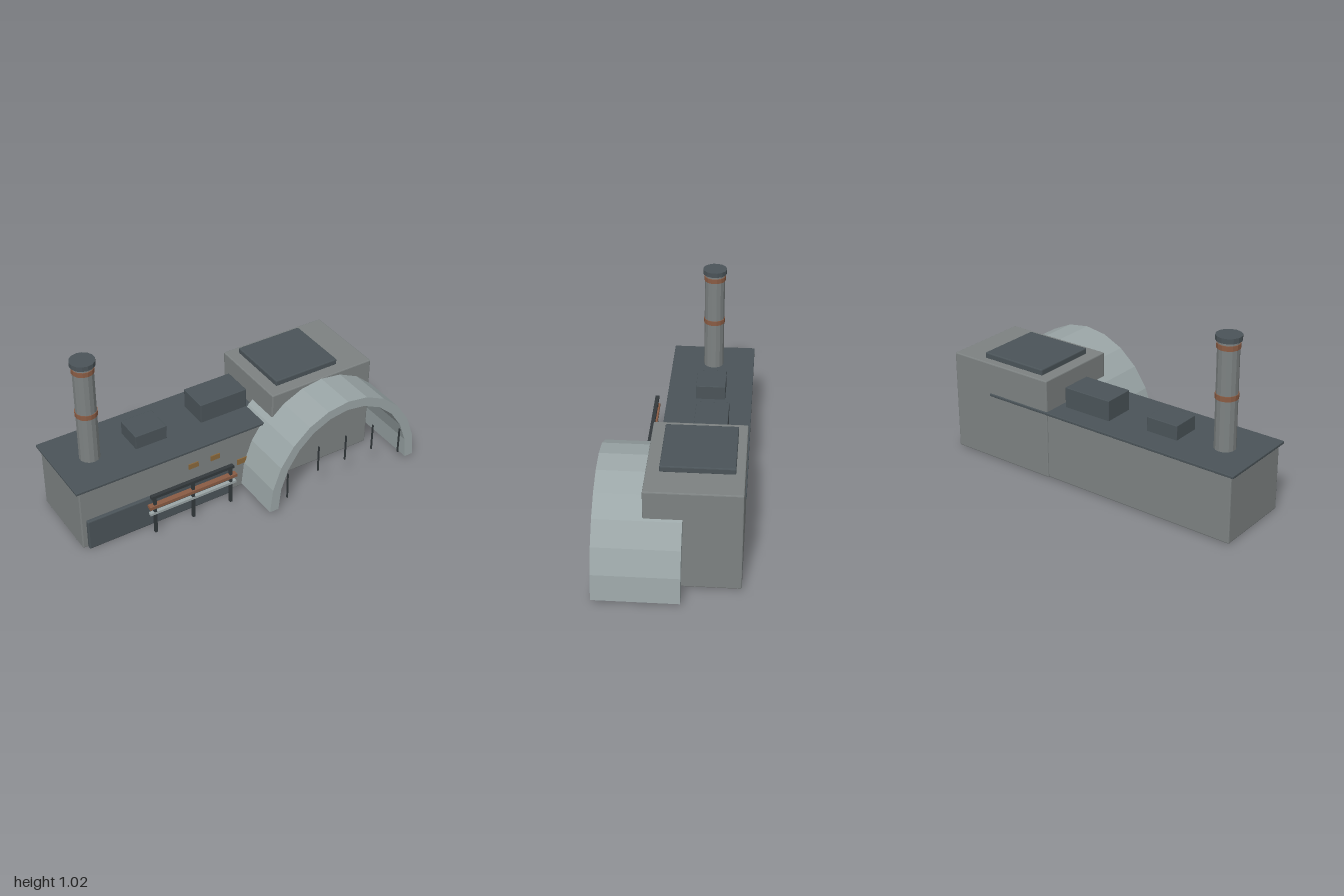
import * as THREE from 'three';
import { RoundedBoxGeometry } from 'three/addons/geometries/RoundedBoxGeometry.js';

const mat = (color) => new THREE.MeshStandardMaterial({ color, flatShading: true });

export function createModel() {
  const model = new THREE.Group();
  const wall = mat(0x7d8282), dark = mat(0x4b5459), pale = mat(0x9ba6a7);
  const copper = mat(0x8a5c44), amber = mat(0x8a683c), iron = mat(0x33393c);

  const add = (name, geometry, material) => {
    const mesh = new THREE.Mesh(geometry, material);
    mesh.name = name;
    model.add(mesh);
    return mesh;
  };
  // Box given by its extents on each axis, with an optional softened edge
  const box = (name, [x0, x1], [y0, y1], [z0, z1], material, r = 0) => {
    const size = [x1 - x0, y1 - y0, z1 - z0];
    const geo = r ? new RoundedBoxGeometry(...size, 1, r) : new THREE.BoxGeometry(...size);
    add(name, geo, material).position.set((x0 + x1) / 2, (y0 + y1) / 2, (z0 + z1) / 2);
  };

  // Long hall with its roof slab and front plinth
  box('hall', [-0.98, 0.57], [0.005, 0.388], [-0.37, 0.085], wall, 0.006);
  box('hallRoof', [-1, 0.59], [0.385, 0.4], [-0.385, 0.1], dark, 0.003);
  box('plinth', [-0.95, -0.08], [0, 0.187], [-0.12, 0.105], dark, 0.006);

  // Tall block with raised roof cap
  box('tallBlock', [0.185, 0.845], [0.005, 0.58], [-0.378, 0.125], wall, 0.006);
  box('tallBlockCap', [0.255, 0.66], [0.575, 0.612], [-0.33, 0.055], dark, 0.006);

  // Rooftop units
  box('smallRoofUnit', [-0.56, -0.37], [0.395, 0.482], [-0.232, -0.065], dark, 0.003);
  box('largeRoofUnit', [-0.145, 0.148], [0.395, 0.516], [-0.264, -0.082], dark, 0.003);

  // Chimney, its two bands and top
  const ring = (name, r, y0, y1, material) =>
    add(name, new THREE.CylinderGeometry(r, r, y1 - y0, 14), material)
      .position.set(-0.797, (y0 + y1) / 2, -0.145);
  ring('chimney', 0.058, 0.39, 1, wall);
  ring('lowerChimneyBand', 0.062, 0.68, 0.708, copper);
  ring('upperChimneyBand', 0.062, 0.951, 0.978, copper);
  ring('chimneyTop', 0.069, 0.993, 1.02, dark);

  // Faceted arched vault: outer and inner half ellipses in 12 steps
  const points = [];
  for (let i = 0; i <= 12; i++) {
    const a = (i * Math.PI) / 12;
    points.push(new THREE.Vector2(0.493 * Math.cos(a), 0.56 * Math.sin(a)));
  }
  for (let i = 12; i >= 0; i--) {
    const a = (i * Math.PI) / 12;
    points.push(new THREE.Vector2(0.438 * Math.cos(a), 0.505 * Math.sin(a)));
  }
  const vault = new THREE.ExtrudeGeometry(new THREE.Shape(points), { depth: 0.453, bevelEnabled: false });
  add('archedVault', vault, pale).position.set(0.507, 0.017, -0.075);

  // Slim bars across the mouth of the vault
  for (const [x, y] of [[0.125, 0.075], [0.325, 0.18], [0.507, 0.18], [0.69, 0.18], [0.886, 0.075]]) {
    box('vaultBar', [x - 0.003, x + 0.003], [y, y + 0.165], [0.373, 0.383], iron);
  }

  // Lit windows on the hall front
  box('hallWindow', [-0.325, -0.265], [0.265, 0.297], [0.08, 0.091], amber);
  box('hallWindow', [-0.187, -0.13], [0.265, 0.297], [0.08, 0.091], amber);
  box('wideWindow', [-0.017, 0.165], [0.165, 0.2], [0.08, 0.091], amber);

  // Free-standing railing
  for (const x of [-0.59, -0.355, -0.117]) {
    box('railingPost', [x - 0.008, x + 0.008], [0.015, 0.262], [0.172, 0.188], iron);
  }
  box('topRail', [-0.612, -0.1], [0.25, 0.268], [0.168, 0.19], iron);
  box('copperRail', [-0.625, -0.083], [0.187, 0.206], [0.164, 0.196], copper);
  box('lowerRail', [-0.622, -0.085], [0.142, 0.157], [0.168, 0.19], pale);

  return model;
}
